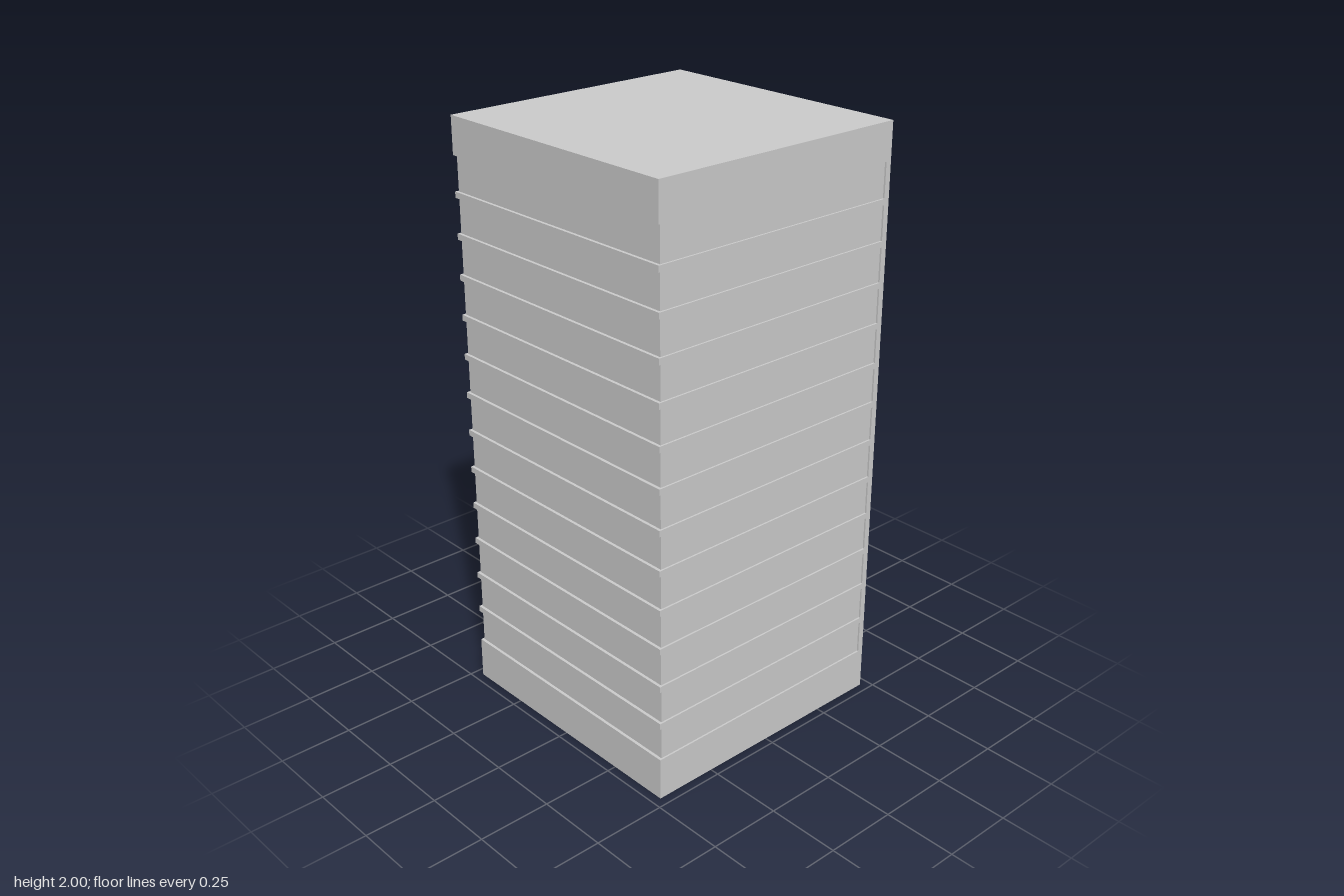
import * as THREE from 'three';

const HALF = 0.469;        // half of the square footprint
const BACK = 0.02;         // thickness of the back wall
const SIDE_STEP = 0.006;   // recess of the glazing on the sides
const FRONT_STEP = 0.01;   // recess of the glazing on the front
const BASE_TOP = 0.146, CAP_BOTTOM = 1.876, HEIGHT = 2;
const LEDGES = 12, LEDGE_H = 0.02;

export function createModel() {
  const tower = new THREE.Group();
  tower.name = 'tower';
  const material = new THREE.MeshStandardMaterial({ color: 0xcccccc });

  // Box given by its half width and its y and z ranges
  const block = (name, halfX, y0, y1, z0, z1) => {
    const mesh = new THREE.Mesh(new THREE.BoxGeometry(halfX * 2, y1 - y0, z1 - z0), material);
    mesh.position.set(0, (y0 + y1) / 2, (z0 + z1) / 2);
    mesh.name = name;
    tower.add(mesh);
  };

  const zWall = -HALF + BACK;

  // Flat rear wall, full height
  block('backWall', HALF, 0, HEIGHT, -HALF, zWall);
  // Solid base and cap
  block('base', HALF, 0, BASE_TOP, zWall, HALF);
  block('cap', HALF, CAP_BOTTOM, HEIGHT, zWall, HALF);
  // Recessed storeys between base and cap
  block('recessedWalls', HALF - SIDE_STEP, BASE_TOP, CAP_BOTTOM, zWall, HALF - FRONT_STEP);

  // Evenly spaced floor ledges around the front and sides
  const gap = (CAP_BOTTOM - BASE_TOP - LEDGES * LEDGE_H) / (LEDGES + 1);
  for (let i = 0; i < LEDGES; i++) {
    const y = BASE_TOP + gap + i * (gap + LEDGE_H);
    block(`floorLedge${i + 1}`, HALF, y, y + LEDGE_H, zWall, HALF);
  }
  return tower;
}
